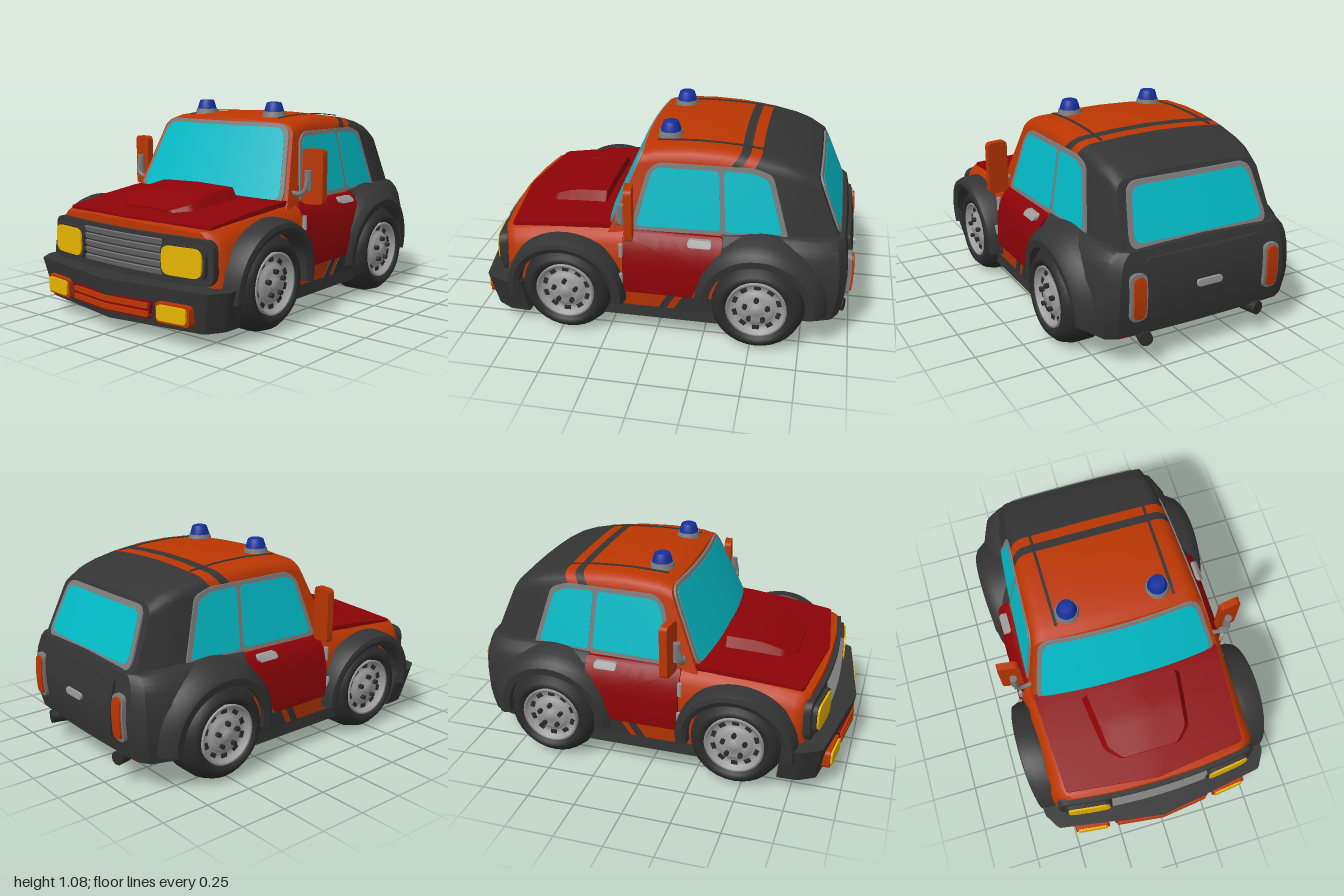
import * as THREE from 'three';
import { toCreasedNormals } from 'three/addons/utils/BufferGeometryUtils.js';

const mat = (name, color) => new THREE.MeshStandardMaterial({ name, color, side: THREE.DoubleSide });
const M = {
  orange: mat('orange paint', 0xbb3602), red: mat('dark red paint', 0x8c0307), black: mat('black paint', 0x343434),
  tyre: mat('rubber', 0x2b2b2b), grey: mat('grey metal', 0x7a7a7a), alloy: mat('light alloy', 0x9c9c9c),
  glass: mat('cyan glass', 0x02bac6), yellow: mat('yellow lens', 0xe6b502), blue: mat('blue lens', 0x14309c),
};

const clamp = (v) => Math.min(1, Math.max(0, v));
// piecewise linear curve through [key, value] pairs with rising keys
const curve = (table) => (k) => {
  let i = 0;
  while (i < table.length - 2 && k > table[i + 1][0]) i++;
  const [a, b] = [table[i], table[i + 1]];
  return a[1] + (b[1] - a[1]) * clamp((k - a[0]) / (b[0] - a[0]));
};

// body rules: half width along z, shoulder height along z, bulge by height
const bodyW = curve([[-0.93, 0.47], [-0.9, 0.53], [-0.8, 0.57], [-0.6, 0.58], [-0.33, 0.59], [0.16, 0.59], [0.3, 0.58], [0.65, 0.58], [0.74, 0.585], [0.78, 0.57], [0.8, 0.54]]);
const shoulder = curve([[-0.95, 0.59], [-0.7, 0.605], [0.16, 0.6], [0.3, 0.592], [0.5, 0.572], [0.84, 0.527]]);
const bulge = curve([[0.17, 0.97], [0.3, 1], [0.45, 0.985], [0.52, 0.96], [0.56, 0.93], [0.59, 0.88], [0.6, 0.85]]);
const bodyX = (y, z) => bodyW(z) * bulge(y + 0.6 - shoulder(z));
const bow = (x) => 1 - (x / 0.55) ** 2;
const warpZ = (x, y, z) => z + 0.05 * bow(x) * clamp((z - 0.5) / 0.3)
  - (0.02 * bow(x) + 0.03 * (1 - ((y - 0.38) / 0.21) ** 2)) * clamp((-z - 0.7) / 0.23);
const hoodY = (x, z) => shoulder(z) + 0.015 * (1 - Math.abs(x) / 0.52);

// cabin rules: roof height along the length, front and rear slope, side lean
const roofT = curve([[0, 1.0], [0.08, 1.018], [0.3, 1.027], [0.5, 1.022], [0.7, 1.003], [0.85, 0.975], [0.94, 0.945], [1, 0.905]]);
const screenZ = (x, y) => 0.24 - 0.45 * (y - 0.58) + 0.05 * bow(x);
const tailZ = (x, y) => -0.91 + 0.42 * (y - 0.58) - 0.012 * bow(x);
const cabX = (y, z) => (0.525 - 0.2 * (y - 0.6)) * (1 - 0.09 * Math.max(0, 0.2 - z) - 0.1 * Math.max(0, -z - 0.2) ** 2);

// surface through rows of [x, y, z] points
function loft(rows) {
  const pos = [], n = rows[0].length;
  for (let i = 0; i + 1 < rows.length; i++) for (let j = 0; j + 1 < n; j++) {
    const [a, b, c, d] = [rows[i][j], rows[i + 1][j], rows[i + 1][j + 1], rows[i][j + 1]];
    pos.push(...a, ...b, ...c, ...a, ...c, ...d);
  }
  const g = new THREE.BufferGeometry();
  g.setAttribute('position', new THREE.Float32BufferAttribute(pos, 3));
  return toCreasedNormals(g, 0.6);
}

// rounded outline, extruded, split into small triangles and laid on a surface rule
function panel(pts, r, depth, map) {
  const s = new THREE.Shape(), V = pts.map((p) => new THREE.Vector2(...p));
  V.forEach((p, i) => {
    const toward = (q) => p.clone().lerp(q, Math.min(0.48, r / p.distanceTo(q)));
    const a = toward(V[(i + V.length - 1) % V.length]), b = toward(V[(i + 1) % V.length]);
    if (i) s.lineTo(a.x, a.y); else s.moveTo(a.x, a.y);
    s.quadraticCurveTo(p.x, p.y, b.x, b.y);
  });
  s.closePath();
  let src = new THREE.ExtrudeGeometry(s, { depth, bevelEnabled: false, curveSegments: 4 });
  if (src.index) src = src.toNonIndexed();
  const P = src.attributes.position, tris = [], pos = [];
  const at = (i) => new THREE.Vector3().fromBufferAttribute(P, i);
  const split = (a, b, c) => {
    const [ab, bc, ca] = [a.distanceTo(b), b.distanceTo(c), c.distanceTo(a)];
    if (Math.max(ab, bc, ca) < 0.08) { tris.push([a, b, c]); return; }
    // put the longest edge first, then halve it
    let [p, q, o] = [a, b, c];
    if (bc > ab && bc >= ca) [p, q, o] = [b, c, a];
    else if (ca > ab) [p, q, o] = [c, a, b];
    const h = p.clone().add(q).multiplyScalar(0.5);
    split(p, h, o);
    split(h, q, o);
  };
  for (let i = 0; i < P.count; i += 3) split(at(i), at(i + 1), at(i + 2));
  const mapped = tris.map((t) => t.map((v) => new THREE.Vector3(...map(v.x, v.y, v.z))));
  const origin = mapped[0][0];
  let volume = 0;
  for (const [a, b, c] of mapped) volume += a.clone().sub(origin).dot(b.clone().sub(origin).cross(c.clone().sub(origin)));
  for (const [a, b, c] of mapped) for (const v of volume < 0 ? [a, c, b] : [a, b, c]) pos.push(v.x, v.y, v.z);
  const g = new THREE.BufferGeometry();
  g.setAttribute('position', new THREE.Float32BufferAttribute(pos, 3));
  return toCreasedNormals(g, 0.5);
}
const rect = (x0, x1, y0, y1) => [[x0, y0], [x1, y0], [x1, y1], [x0, y1]];
const trap = (b, t, y0, y1) => [[-b, y0], [b, y0], [t, y1], [-t, y1]];
const side = (fn, off) => (z, y, c) => [fn(y, z) + off + c, y, z];
const front = (off) => (x, y, c) => [x, y, warpZ(x, y, 0.8) + off + c];
const rear = (off) => (x, y, c) => [x, y, warpZ(x, y, -0.93) - off - c];
const screen = (off) => (x, y, c) => [x, y, screenZ(x, y) + off + c];
const tail = (off) => (x, y, c) => [x, y, tailZ(x, y) - off - c];
const bumperFace = (off) => (x, y, c) => [x, y, 0.972 - 0.125 * Math.abs(x) + off + c];

// mirrored copy with the corner order kept outward
function mirrored(geo) {
  const g = geo.index ? geo.toNonIndexed() : geo.clone();
  g.scale(-1, 1, 1);
  for (const a of Object.values(g.attributes)) for (let i = 0; i < a.count; i += 3) for (let k = 0; k < a.itemSize; k++) {
    const p = (i + 1) * a.itemSize + k, q = p + a.itemSize, t = a.array[p];
    a.array[p] = a.array[q]; a.array[q] = t;
  }
  return g;
}

export function createModel() {
  const car = new THREE.Group();
  car.name = 'car';
  const add = (name, m, g) => { const o = new THREE.Mesh(g, m); o.name = name; car.add(o); };
  const pair = (name, m, g) => { add(name + 'Left', m, g); add(name + 'Right', m, mirrored(g)); };
  const box = (w, h, d, x, y, z) => new THREE.BoxGeometry(w, h, d).translate(x, y, z);
  const full = (half) => [...half.map(([x, y, z]) => [-x, y, z]), ...half.slice(0, -1).reverse()];

  // lower body in a front and a rear colour, with end faces
  const bodyHalf = (z) => {
    const s = shoulder(z);
    const pts = [0.17, 0.24, 0.3, 0.38, s - 0.15, s - 0.08, s - 0.04, s - 0.01, s].map((y) => [bodyX(y, z), y]);
    return [...pts, [0.25, s + 0.008], [0, s + 0.015]].map(([x, y]) => [x, y, warpZ(x, y, z)]);
  };
  const bodyShell = (zs) => loft(zs.map((z) => full(bodyHalf(z))));
  const cap = (half, fz) => loft(half.map(([x, y]) => Array.from({ length: 13 }, (_, k) => {
    const px = x * (k / 6 - 1);
    return [px, y, fz(px, y)];
  })));
  add('frontBody', M.orange, bodyShell([0.8, 0.79, 0.78, 0.76, 0.74, 0.65, 0.5, 0.3, 0.16, -0.1, -0.33]));
  add('rearBody', M.black, bodyShell([-0.33, -0.6, -0.7, -0.8, -0.85, -0.9, -0.915, -0.93]));
  add('nose', M.orange, cap(bodyHalf(0.8), (x, y) => warpZ(x, y, 0.8)));
  add('tailFace', M.black, cap(bodyHalf(-0.93), (x, y) => warpZ(x, y, -0.93)));

  // cabin in colour bands along its length, the bands leaning forward down the sides
  const cabHalf = (t) => {
    const T = roofT(t), yS = T - 0.08, out = [];
    const put = (k, y) => {
      const lean = 0.28 * t * (1 - t) * clamp((T - 0.015 - y) / 0.08);
      const zOf = (x) => screenZ(x, y) + (tailZ(x, y) - screenZ(x, y)) * t + lean;
      const x = cabX(Math.min(y, yS), zOf(0.45)) * k * (1 - 0.05 * clamp((t - 0.9) / 0.1));
      out.push([x, y, zOf(x)]);
    };
    for (let i = 0; i <= 4; i++) put(1, 0.57 + (yS - 0.57) * i / 4);
    for (let i = 1; i <= 5; i++) { const a = i * Math.PI / 10; put(0.82 + 0.18 * Math.cos(a), yS + 0.065 * Math.sin(a)); }
    put(0.4, T - 0.004); put(0, T);
    return out;
  };
  const bands = [['cabin', M.orange, [0, 0.04, 0.08, 0.2, 0.3, 0.4, 0.5, 0.59]], ['roofBandDark', M.black, [0.59, 0.645]],
    ['roofBandBright', M.orange, [0.645, 0.71]], ['rearCabin', M.black, [0.71, 0.77, 0.85, 0.9, 0.94, 0.97, 1]]];
  for (const [name, m, ts] of bands) add(name, m, loft(ts.map((t) => full(cabHalf(t)))));
  add('cabinFront', M.orange, cap(cabHalf(0), screenZ));
  add('cabinBack', M.black, cap(cabHalf(1), tailZ));
  pair('roofLine', M.black, panel(rect(0.305, 0.32, -0.51, 0.03), 0.002, 0.004, (x, z, c) => [x, roofT((0.09 - z) / 0.88) - 0.01 + c, z]));

  // windows: grey frame with a glass plate on top
  add('windscreenFrame', M.grey, panel(trap(0.51, 0.425, 0.585, 0.985), 0.07, 0.01, screen(0)));
  add('windscreen', M.glass, panel(trap(0.485, 0.405, 0.605, 0.965), 0.06, 0.006, screen(0.006)));
  add('rearWindowFrame', M.grey, panel(trap(0.39, 0.345, 0.59, 0.88), 0.06, 0.01, tail(0)));
  add('rearWindow', M.glass, panel(trap(0.362, 0.322, 0.615, 0.857), 0.05, 0.006, tail(0.006)));
  pair('sideWindowFrame', M.grey, panel([[0.135, 0.597], [0.055, 0.9], [0.0, 0.943], [-0.48, 0.937], [-0.57, 0.905], [-0.665, 0.587]], 0.03, 0.008, side(cabX, 0)));
  pair('frontSideWindow', M.glass, panel([[0.103, 0.618], [0.033, 0.892], [0.0, 0.918], [-0.305, 0.918], [-0.325, 0.618]], 0.025, 0.006, side(cabX, 0.004)));
  pair('rearSideWindow', M.glass, panel([[-0.35, 0.612], [-0.328, 0.918], [-0.48, 0.912], [-0.55, 0.882], [-0.632, 0.612]], 0.025, 0.006, side(cabX, 0.004)));

  // bonnet and scoop
  add('bonnet', M.red, panel([[-0.52, 0.22], [0.52, 0.22], [0.49, 0.775], [0, 0.835], [-0.49, 0.775]], 0.02, 0.025, (x, z, c) => [x, hoodY(x, z) - 0.01 + c, z]));
  add('bonnetScoop', M.red, panel([[-0.28, 0.32], [0.28, 0.32], [0.24, 0.62], [0.17, 0.69], [-0.17, 0.69], [-0.24, 0.62]], 0.02, 0.057,
    (x, z, c) => [x * (1 - 2 * c), hoodY(x, z) + 0.01 + c * clamp((0.76 - z) / 0.25), z]));

  // doors, sill stripes, handles, hinges
  pair('door', M.red, panel([[0.16, 0.27], [0.165, 0.595], [-0.345, 0.595], [-0.34, 0.53], [-0.25, 0.42], [-0.2, 0.27]], 0.02, 0.016, side(bodyX, 0)));
  pair('sillStripe', M.black, panel([[-0.02, 0.175], [-0.06, 0.175], [-0.11, 0.265], [-0.07, 0.265]], 0.002, 0.006, side(bodyX, 0)));
  pair('sillRear', M.black, panel([[-0.1, 0.175], [-0.32, 0.175], [-0.32, 0.265], [-0.15, 0.265]], 0.002, 0.006, side(bodyX, 0)));
  pair('sill', M.black, box(0.1, 0.065, 0.62, 0.525, 0.145, -0.03));
  pair('doorHandle', M.alloy, panel(rect(-0.29, -0.17, 0.552, 0.584), 0.014, 0.03, side(bodyX, 0.005)));
  for (const y of [0.34, 0.5]) pair('hinge', M.alloy, new THREE.CylinderGeometry(0.012, 0.012, 0.07, 8).translate(bodyX(y, 0.17) + 0.015, y, 0.17));

  // grille and headlights
  add('grillePanel', M.black, panel(rect(-0.55, 0.55, 0.285, 0.505), 0.06, 0.035, front(-0.01)));
  for (let i = 0; i < 5; i++) {
    const y = 0.315 + i * 0.036;
    add('grilleSlat', M.grey, panel(rect(-0.265, 0.265, y, y + 0.027), 0.004, 0.02, (x, v, c) => [x, v, warpZ(x, v, 0.8) + 0.01 + c * (1 + (v - y) * 25)]));
  }
  pair('headlightRim', M.black, panel(rect(0.27, 0.52, 0.315, 0.475), 0.05, 0.03, front(0.015)));
  pair('headlight', M.yellow, panel(rect(0.283, 0.507, 0.327, 0.465), 0.045, 0.025, front(0.03)));

  // front bumper with fog lights and lower grille
  const bumper = [[0.64, 0.7], [0.635, 0.81], [0.58, 0.9], [0, 0.995], [-0.58, 0.9], [-0.635, 0.81], [-0.64, 0.7], [-0.54, 0.7], [-0.5, 0.78], [0.5, 0.78], [0.54, 0.7]];
  add('frontBumper', M.black, panel(bumper, 0.015, 0.2, (x, z, c) => [x * (0.92 + 0.4 * c), 0.08 + c, z * (0.97 + 0.17 * c)]));
  pair('fogLightRim', M.orange, panel(rect(0.305, 0.495, 0.116, 0.214), 0.02, 0.04, bumperFace(-0.02)));
  pair('fogLight', M.yellow, panel(rect(0.318, 0.482, 0.128, 0.203), 0.02, 0.03, bumperFace(0)));
  add('lowerGrille', M.red, panel(trap(0.255, 0.275, 0.12, 0.205), 0.01, 0.02, bumperFace(-0.008)));
  for (const y of [0.13, 0.17]) add('lowerGrilleSlat', M.orange, panel(rect(-0.26, 0.26, y, y + 0.026), 0.005, 0.03, bumperFace(-0.008)));

  // tail panel, lights and handle
  add('tailgate', M.black, panel(trap(0.3, 0.33, 0.25, 0.56), 0.03, 0.015, rear(0)));
  add('tailgateHandle', M.alloy, panel(rect(-0.07, 0.07, 0.375, 0.41), 0.015, 0.015, rear(0.012)));
  pair('tailLightRim', M.grey, panel(rect(0.335, 0.42, 0.262, 0.498), 0.035, 0.02, rear(0)));
  pair('tailLight', M.orange, panel(rect(0.347, 0.408, 0.276, 0.484), 0.03, 0.02, rear(0.01)));

  // wheels and flared arches
  const turned = (pts) => new THREE.LatheGeometry(pts.map((p) => new THREE.Vector2(...p)), 32);
  const flares = {
    front: [[0.54, 0.318], [0.61, 0.314], [0.645, 0.3], [0.65, 0.275], [0.635, 0.247], [0.37, 0.247], [0.37, 0.02]],
    rear: [[0.48, 0.37], [0.55, 0.345], [0.595, 0.315], [0.613, 0.285], [0.608, 0.247], [0.37, 0.247], [0.37, 0.02]],
  };
  for (const [end, z] of [['front', 0.465], ['rear', -0.53]]) {
    const put = (name, m, g) => pair(end + name, m, g.translate(0, 0.25, z));
    put('Tyre', M.tyre, turned([[0.14, 0.37], [0.2, 0.373], [0.23, 0.4], [0.245, 0.45], [0.245, 0.55], [0.228, 0.602], [0.195, 0.635], [0.168, 0.635], [0.15, 0.605]]).rotateZ(-Math.PI / 2));
    put('Rim', M.alloy, turned([[0.15, 0.598], [0.155, 0.628], [0.142, 0.628], [0.132, 0.598], [0.1, 0.596], [0.092, 0.61], [0.065, 0.62], [0.03, 0.62], [0.028, 0.635], [0, 0.635]]).rotateZ(-Math.PI / 2));
    put('WheelBack', M.tyre, new THREE.CylinderGeometry(0.15, 0.15, 0.02, 20).rotateZ(Math.PI / 2).translate(0.39, 0, 0));
    for (let i = 0; i < 10; i++) put('RimSlot', M.tyre, box(0.02, 0.022, 0.034, 0.592, 0.116, 0).rotateX(i * Math.PI / 5));
    for (let i = 0; i < 5; i++) put('WheelBolt', M.tyre, new THREE.CylinderGeometry(0.013, 0.013, 0.03, 6).rotateZ(Math.PI / 2).translate(0.625, 0.06, 0).rotateX(i * Math.PI * 0.4));
    put('Arch', M.black, loft(flares[end].map(([x, r]) => Array.from({ length: 25 }, (_, k) => {
      const a = (-8 + 196 * k / 24) * Math.PI / 180;
      return [x + (x > 0.5 ? 0.028 * Math.sin(a) : 0), r * Math.sin(a), r * Math.cos(a)];
    }))));
    add(end + 'Axle', M.tyre, new THREE.CylinderGeometry(0.03, 0.03, 0.8, 12).rotateZ(Math.PI / 2).translate(0, 0.2, z));
  }

  // mirrors on bent brackets
  const path = (pts) => new THREE.CatmullRomCurve3(pts.map((p) => new THREE.Vector3(...p)));
  const bracket = path([[0.5, 0.645, 0.17], [0.565, 0.645, 0.18], [0.593, 0.67, 0.18], [0.596, 0.75, 0.165]]);
  pair('mirror', M.orange, panel(rect(0.55, 0.663, 0.59, 0.87), 0.025, 0.04, (x, y, c) => [x, y, 0.1 + c - 0.15 * (x - 0.6)]));
  pair('mirrorBracket', M.grey, new THREE.TubeGeometry(bracket, 14, 0.013, 8));
  pair('mirrorClamp', M.grey, new THREE.CylinderGeometry(0.02, 0.02, 0.1, 10).translate(0.596, 0.715, 0.16));

  // roof beacons
  pair('beaconBase', M.grey, new THREE.CylinderGeometry(0.058, 0.066, 0.03, 20).translate(0.24, 1.022, -0.025));
  pair('beacon', M.blue, turned([[0.054, 0], [0.05, 0.02], [0.04, 0.05], [0.032, 0.054], [0, 0.054]]).translate(0.24, 1.033, -0.025));

  // underside
  add('floor', M.black, box(0.74, 0.02, 1.6, 0, 0.2, -0.02));
  add('midFloor', M.black, box(1.1, 0.02, 0.4, 0, 0.2, -0.03));
  add('rearUndertray', M.red, box(0.9, 0.02, 0.2, 0, 0.185, -0.84));
  add('frontUndertray', M.red, box(0.72, 0.02, 0.42, 0, 0.185, 0.46));
  add('enginePlate', M.black, box(0.46, 0.02, 0.32, 0, 0.17, 0.46));
  pair('floorStrip', M.red, box(0.05, 0.02, 0.4, 0.2, 0.185, 0.0));
  pair('chassisRail', M.black, box(0.06, 0.06, 1.35, 0.31, 0.16, 0.02));
  for (const z of [-0.25, 0.22]) add('crossMember', M.black, box(0.95, 0.05, 0.06, 0, 0.16, z));
  add('driveShaft', M.tyre, new THREE.CylinderGeometry(0.035, 0.035, 0.95, 12).rotateX(Math.PI / 2).translate(0, 0.17, -0.03));
  add('differential', M.grey, new THREE.SphereGeometry(0.08, 16, 12).translate(0, 0.19, -0.53));
  const pipe = path([[0.12, 0.15, -0.5], [0.2, 0.14, -0.7], [0.26, 0.14, -0.8], [0.31, 0.15, -0.92]]);
  pair('exhaustPipe', M.tyre, new THREE.TubeGeometry(pipe, 12, 0.02, 8));
  pair('exhaustTip', M.tyre, new THREE.CylinderGeometry(0.035, 0.035, 0.1, 14).rotateX(Math.PI / 2).rotateY(-0.25).translate(0.315, 0.15, -0.92));
  return car;
}
